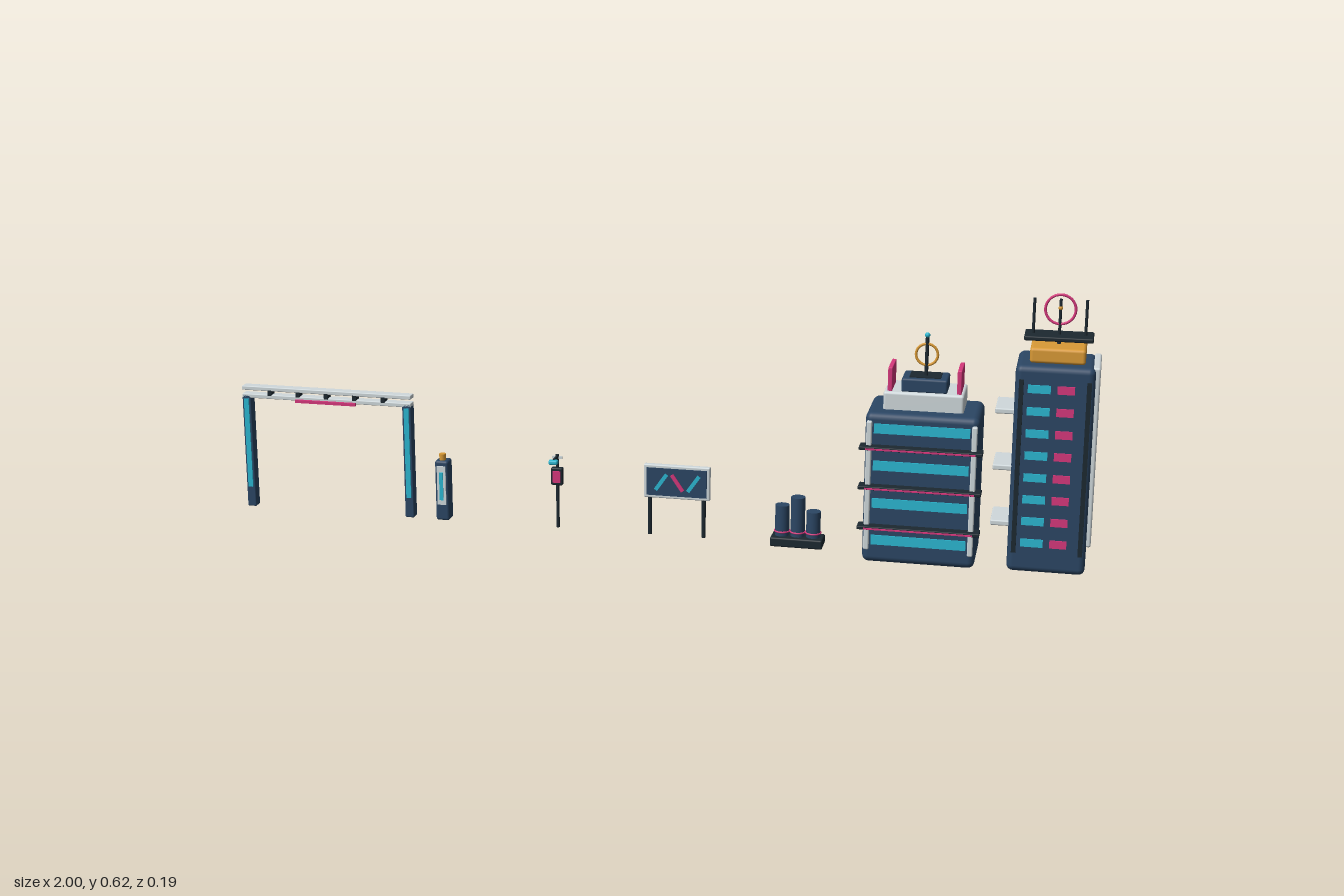
import * as THREE from 'three';
import { RoundedBoxGeometry } from 'three/addons/geometries/RoundedBoxGeometry.js';

function paint(name, hex) {
  const m = new THREE.MeshStandardMaterial({ color: hex });
  m.name = name;
  return m;
}

export function createModel() {
  const navy = paint('navy', 0x2b4664), dark = paint('charcoal', 0x1c2830);
  const white = paint('pale grey', 0xd0d9dc), gold = paint('amber', 0xd99a36);
  const cyan = paint('cyan', 0x2bb8d2), pink = paint('magenta', 0xd6387c);

  const root = new THREE.Group();
  const section = (name) => {
    const g = new THREE.Group();
    g.name = name;
    root.add(g);
    return g;
  };
  const add = (g, name, geo, mat, x, y, z) => {
    const m = new THREE.Mesh(geo, mat);
    m.name = name;
    m.position.set(x, y, z);
    g.add(m);
    return m;
  };
  // Boxes are given by their limits on each axis; r rounds the edges
  const box = (g, name, mat, [x0, x1], [y0, y1], [z0, z1], r = 0) => {
    const s = [x1 - x0, y1 - y0, z1 - z0];
    const geo = r ? new RoundedBoxGeometry(...s, 3, r) : new THREE.BoxGeometry(...s);
    return add(g, name, geo, mat, (x0 + x1) / 2, (y0 + y1) / 2, (z0 + z1) / 2);
  };
  const rod = (g, name, mat, x, z, y0, y1, r, n = 16) =>
    add(g, name, new THREE.CylinderGeometry(r, r, y1 - y0, n), mat, x, (y0 + y1) / 2, z);
  const ring = (g, name, mat, x, y, z, R, t) =>
    add(g, name, new THREE.TorusGeometry(R, t, 8, 32), mat, x, y, z);

  // Overhead gantry
  const gantry = section('gantry');
  for (const x of [-0.989, -0.588]) {
    box(gantry, 'gantryPost', navy, [x - 0.011, x + 0.011], [0, 0.28], [-0.028, -0.004], 0.003);
    box(gantry, 'postLight', cyan, [x - 0.006, x + 0.006], [0.05, 0.27], [-0.005, -0.001]);
  }
  for (const y of [0.277, 0.296])
    box(gantry, 'gantryRail', white, [-1, -0.577], [y - 0.005, y + 0.005], [-0.028, -0.004], 0.002);
  for (let i = 0; i < 5; i++) {
    const x = -0.93 + i * 0.071;
    box(gantry, 'railSpacer', dark, [x - 0.005, x + 0.005], [0.279, 0.294], [-0.024, -0.004]);
  }
  box(gantry, 'gantryNeon', pink, [-0.863, -0.712], [0.269, 0.276], [-0.003, 0.004]);

  // Service kiosk
  const kiosk = section('kiosk');
  box(kiosk, 'kioskBody', navy, [-0.521, -0.488], [0, 0.147], [-0.034, 0], 0.006);
  box(kiosk, 'kioskPanel', white, [-0.515, -0.494], [0.04, 0.135], [-0.002, 0.003]);
  box(kiosk, 'kioskScreen', cyan, [-0.509, -0.5], [0.052, 0.12], [0.002, 0.005]);
  rod(kiosk, 'kioskBeacon', gold, -0.505, -0.014, 0.145, 0.162, 0.008);

  // Signal pole with a forward lamp
  const signal = section('signalPole');
  rod(signal, 'pole', dark, -0.225, -0.015, 0, 0.178, 0.004, 12);
  box(signal, 'crossBar', white, [-0.237, -0.213], [0.168, 0.174], [-0.018, -0.013]);
  box(signal, 'signalBox', dark, [-0.239, -0.211], [0.105, 0.147], [-0.02, -0.006], 0.003);
  box(signal, 'signalFace', pink, [-0.234, -0.216], [0.112, 0.14], [-0.008, -0.003]);
  box(signal, 'lampArm', dark, [-0.227, -0.223], [0.17, 0.176], [-0.015, 0.02]);
  box(signal, 'lamp', cyan, [-0.236, -0.214], [0.164, 0.175], [0.013, 0.028], 0.004);

  // Billboard
  const board = section('billboard');
  for (const x of [-0.004, 0.123])
    rod(board, 'boardLeg', dark, x, -0.016, 0, 0.1, 0.005, 12);
  box(board, 'boardFrame', white, [-0.018, 0.138], [0.09, 0.17], [-0.024, -0.01], 0.003);
  box(board, 'boardFace', navy, [-0.011, 0.131], [0.097, 0.163], [-0.011, -0.008]);
  [[0.024, -0.6, cyan], [0.062, 0.6, pink], [0.1, -0.6, cyan]].forEach(([x, a, mat]) => {
    const s = add(board, 'boardStroke', new THREE.BoxGeometry(0.009, 0.046, 0.003), mat, x, 0.13, -0.007);
    s.rotation.z = a;
  });

  // Tank cluster on a plinth
  const tanks = section('tankCluster');
  box(tanks, 'tankPlinth', dark, [0.283, 0.403], [0, 0.022], [-0.04, 0.013], 0.004);
  [[0.307, 0.094], [0.343, 0.115], [0.379, 0.083]].forEach(([x, h]) => {
    rod(tanks, 'tank', navy, x, -0.014, 0.02, h, 0.0165, 20);
    const hoop = ring(tanks, 'tankHoop', pink, x, 0.032, -0.014, 0.017, 0.002);
    hoop.rotation.x = Math.PI / 2;
  });

  // Wide building
  const wide = section('wideBuilding');
  box(wide, 'wideBody', navy, [0.5, 0.75], [0, 0.347], [-0.093, 0.07], 0.015);
  for (const x of [0.51, 0.74])
    box(wide, 'pilaster', white, [x - 0.006, x + 0.006], [0.033, 0.33], [0.066, 0.08], 0.003);
  for (const y of [0.313, 0.228, 0.141, 0.055])
    box(wide, 'windowBand', cyan, [0.52, 0.73], [y - 0.011, y + 0.011], [0.068, 0.073]);
  for (const y of [0.272, 0.181, 0.088]) {
    box(wide, 'ledge', dark, [0.49, 0.76], [y - 0.004, y + 0.004], [0.06, 0.094], 0.002);
    box(wide, 'ledgeNeon', pink, [0.505, 0.745], [y - 0.0025, y + 0.001], [0.092, 0.0965]);
  }
  box(wide, 'roofDeck', white, [0.534, 0.711], [0.34, 0.387], [-0.078, 0.032], 0.006);
  for (const x of [0.547, 0.699])
    box(wide, 'roofFin', pink, [x - 0.005, x + 0.005], [0.38, 0.44], [-0.06, 0.022], 0.002);
  box(wide, 'roofUnit', navy, [0.572, 0.673], [0.385, 0.417], [-0.054, 0.022], 0.005);
  box(wide, 'roofUnitCap', dark, [0.588, 0.657], [0.412, 0.419], [-0.042, 0.01]);
  rod(wide, 'mast', dark, 0.623, -0.011, 0.41, 0.506, 0.004, 12);
  ring(wide, 'mastRing', gold, 0.623, 0.466, -0.011, 0.024, 0.003);
  add(wide, 'mastTip', new THREE.SphereGeometry(0.006, 12, 8), cyan, 0.623, 0.51, -0.011);

  // Tall tower
  const tower = section('tower');
  box(tower, 'towerBody', navy, [0.82, 0.99], [0, 0.47], [-0.09, 0.061], 0.014);
  box(tower, 'sidePanel', white, [0.984, 1], [0.062, 0.469], [-0.093, 0.044], 0.005);
  for (const x of [0.834, 0.978])
    box(tower, 'frontFin', dark, [x - 0.005, x + 0.005], [0.047, 0.44], [0.056, 0.068]);
  for (let i = 0; i < 8; i++) {
    const y = 0.07 + i * 0.05;
    box(tower, 'cyanWindow', cyan, [0.848, 0.897], [y - 0.009, y + 0.009], [0.059, 0.064]);
    box(tower, 'magentaWindow', pink, [0.911, 0.948], [y - 0.009, y + 0.009], [0.059, 0.064]);
  }
  for (const y of [0.363, 0.235, 0.107])
    box(tower, 'sideBalcony', white, [0.78, 0.828], [y - 0.006, y + 0.006], [-0.05, 0.05], 0.003);

  // Tower roof and antennas
  box(tower, 'roofBlock', gold, [0.848, 0.967], [0.472, 0.506], [-0.065, 0.042], 0.007);
  box(tower, 'roofNeck', dark, [0.865, 0.95], [0.465, 0.475], [-0.045, 0.025]);
  rod(tower, 'platformStem', dark, 0.907, -0.011, 0.5, 0.52, 0.004, 12);
  box(tower, 'roofPlatform', dark, [0.833, 0.981], [0.517, 0.527], [-0.047, 0.023], 0.003);
  for (const x of [0.851, 0.907, 0.963])
    rod(tower, 'antenna', dark, x, -0.011, 0.525, 0.605, 0.0032, 12);
  ring(tower, 'antennaRing', pink, 0.907, 0.582, -0.011, 0.0325, 0.003);
  add(tower, 'antennaHub', new THREE.SphereGeometry(0.005, 12, 8), gold, 0.907, 0.585, -0.011);

  return root;
}
